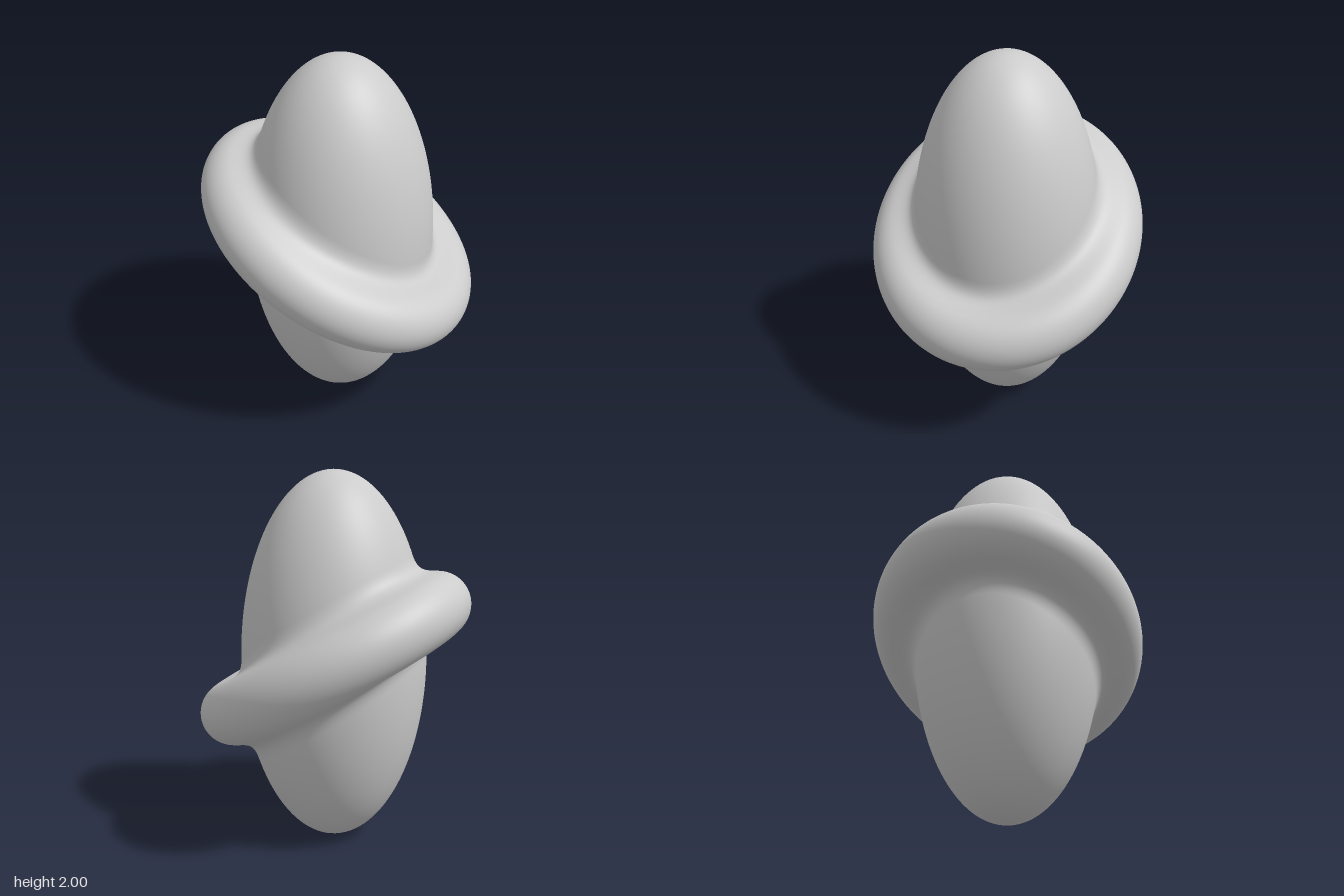
import * as THREE from 'three';

const TILT = Math.PI / 6;            // slope of the ring, falling toward +x
const C = Math.cos(TILT), S = Math.sin(TILT);
const RING_U = 0.55 / C, RING_V = 0.55, TUBE = 0.17; // oval ring, round from above
const BLEND = 0.12;                  // softness of the joint

// Distance to the tall egg-shaped body (centred on the origin)
function bodyDistance(x, y, z) {
  const k0 = Math.hypot(x / 0.495, y, z / 0.495);
  const k1 = Math.hypot(x / 0.245, y, z / 0.245);
  return k0 * (k0 - 1) / Math.max(k1, 1e-6);
}

// Distance to the tilted ring, via the nearest point of its oval centre line
function ringDistance(x, y, z) {
  const u = x * C - y * S, n = x * S + y * C;
  let t = Math.atan2(z * RING_U, u * RING_V);
  for (let i = 0; i < 4; i++) {
    const c = Math.cos(t), s = Math.sin(t);
    const du = RING_U * c - u, dv = RING_V * s - z;
    const g = -du * RING_U * s + dv * RING_V * c;
    const h = (RING_U * s) ** 2 + (RING_V * c) ** 2 - du * RING_U * c - dv * RING_V * s;
    t -= THREE.MathUtils.clamp(g / Math.max(h, 0.05), -0.3, 0.3);
  }
  return Math.hypot(u - RING_U * Math.cos(t), z - RING_V * Math.sin(t), n) - TUBE;
}

// Smooth union of body and ring
function distance(x, y, z) {
  const a = bodyDistance(x, y, z), b = ringDistance(x, y, z);
  const h = Math.max(BLEND - Math.abs(a - b), 0) / BLEND;
  return Math.min(a, b) - h * h * BLEND / 4;
}

export function createModel() {
  const group = new THREE.Group();
  group.name = 'ringedEgg';

  // Sphere aligned with the ring, its rows gathered near the ring
  const geometry = new THREE.SphereGeometry(1, 180, 180);
  const pos = geometry.attributes.position, normal = geometry.attributes.normal;
  const p = new THREE.Vector3(), axis = new THREE.Vector3(0, 0, 1);
  for (let i = 0; i < pos.count; i++) {
    p.fromBufferAttribute(pos, i);
    const s = Math.asin(THREE.MathUtils.clamp(p.y, -1, 1)) / (Math.PI / 2);
    const lat = Math.PI / 2 * (0.5 * s + 0.5 * s ** 3);
    const around = Math.atan2(p.z, p.x);
    p.set(Math.cos(lat) * Math.cos(around), Math.sin(lat), Math.cos(lat) * Math.sin(around));
    p.applyAxisAngle(axis, -TILT);

    // Pull each vertex inward along its ray to the blended surface
    let r = 1.2;
    for (let k = 0; k < 80; k++) {
      const d = distance(p.x * r, p.y * r, p.z * r);
      r -= 0.7 * d;
      if (Math.abs(d) < 1e-5) break;
    }
    p.multiplyScalar(r);
    pos.setXYZ(i, p.x, p.y + 1, p.z);

    // Smooth normal from the slope of the distance
    const e = 0.004;
    const nrm = new THREE.Vector3(
      distance(p.x + e, p.y, p.z) - distance(p.x - e, p.y, p.z),
      distance(p.x, p.y + e, p.z) - distance(p.x, p.y - e, p.z),
      distance(p.x, p.y, p.z + e) - distance(p.x, p.y, p.z - e)
    ).normalize();
    normal.setXYZ(i, nrm.x, nrm.y, nrm.z);
  }

  const body = new THREE.Mesh(geometry, new THREE.MeshStandardMaterial({ color: 0xcccccc }));
  body.name = 'bodyWithRing';
  group.add(body);
  return group;
}
